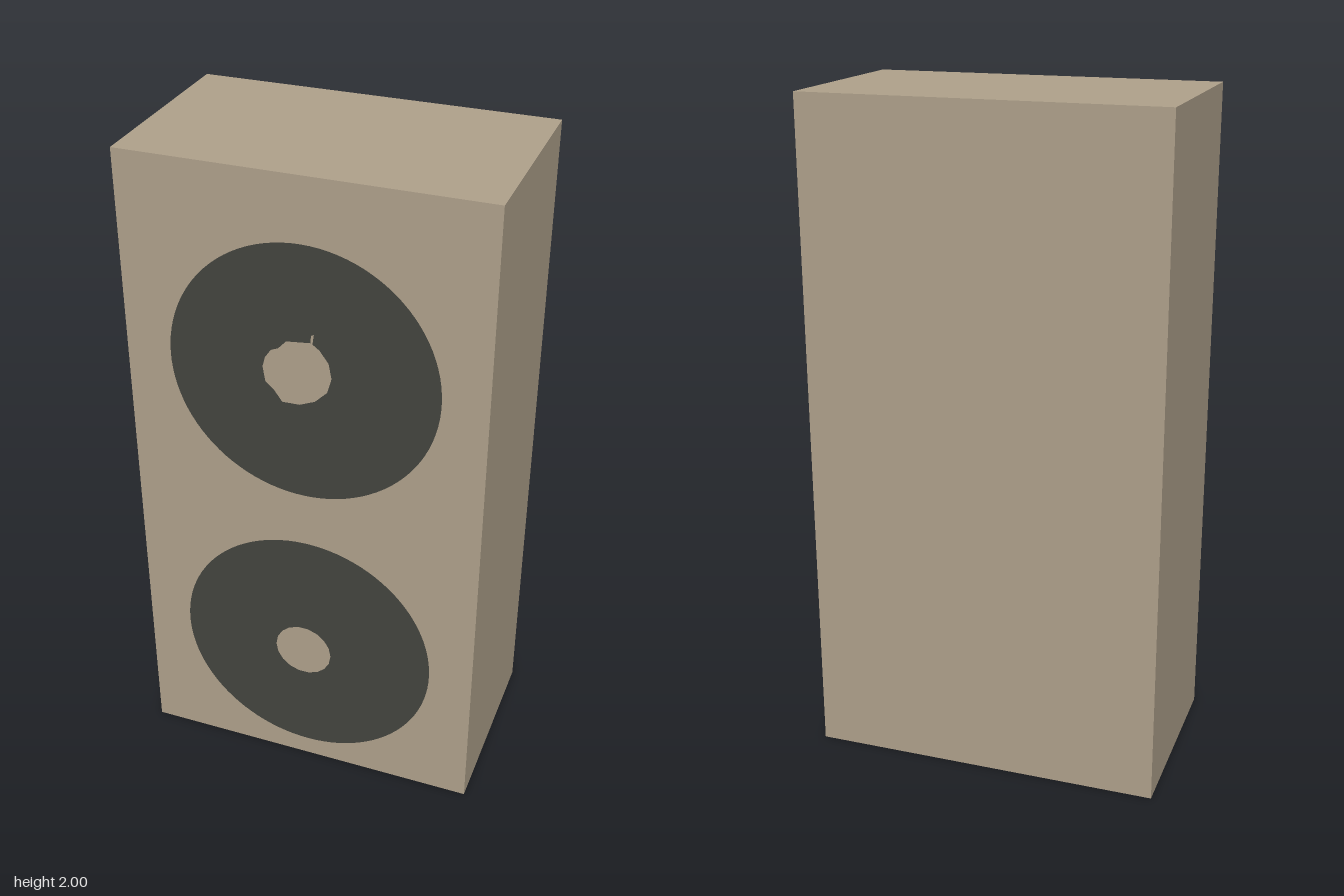
import * as THREE from 'three';

export function createModel() {
  const group = new THREE.Group();
  const cabinetTan = new THREE.MeshStandardMaterial({ color: 0xb0a28c });
  cabinetTan.name = 'cabinetTan';
  const coneBlack = new THREE.MeshStandardMaterial({ color: 0x44453f, side: THREE.DoubleSide });
  coneBlack.name = 'coneBlack';

  // Cabinet
  const cabinet = new THREE.Mesh(new THREE.BoxGeometry(1.054, 2, 0.6), cabinetTan);
  cabinet.name = 'cabinet';
  cabinet.position.set(0, 1, -0.025);
  group.add(cabinet);

  // Flat ring standing just in front of the cabinet, with a hand-cut centre hole
  function addRing(name, y, holePoints) {
    const shape = new THREE.Shape().absarc(0, 0, 0.388, 0, Math.PI * 2);
    shape.holes.push(new THREE.Path(holePoints.map(([px, py]) => new THREE.Vector2(px, py))));
    const ring = new THREE.Mesh(new THREE.ShapeGeometry(shape, 48), coneBlack);
    ring.name = name;
    ring.position.set(0.021, y, 0.325);
    group.add(ring);
  }

  // Upper hole has a flattened top with a small nick
  addRing('upperSpeakerRing', 1.449, [
    [0.083, 0.01], [0.075, 0.055], [0.05, 0.09], [0.03, 0.105], [0.034, 0.135], [0.026, 0.13],
    [0.024, 0.108], [-0.045, 0.1], [-0.068, 0.075], [-0.09, 0.065], [-0.107, 0.04], [-0.115, 0.01],
    [-0.108, -0.035], [-0.085, -0.055], [-0.06, -0.09], [-0.01, -0.089], [0.035, -0.07], [0.07, -0.035],
  ]);

  // Lower hole is nearly round
  const lowerHole = [];
  for (let i = 0; i < 18; i++) {
    const a = -(i / 18) * Math.PI * 2;
    lowerHole.push([-0.011 + 0.088 * Math.cos(a), -0.021 + 0.088 * Math.sin(a)]);
  }
  addRing('lowerSpeakerRing', 0.504, lowerHole);

  return group;
}
